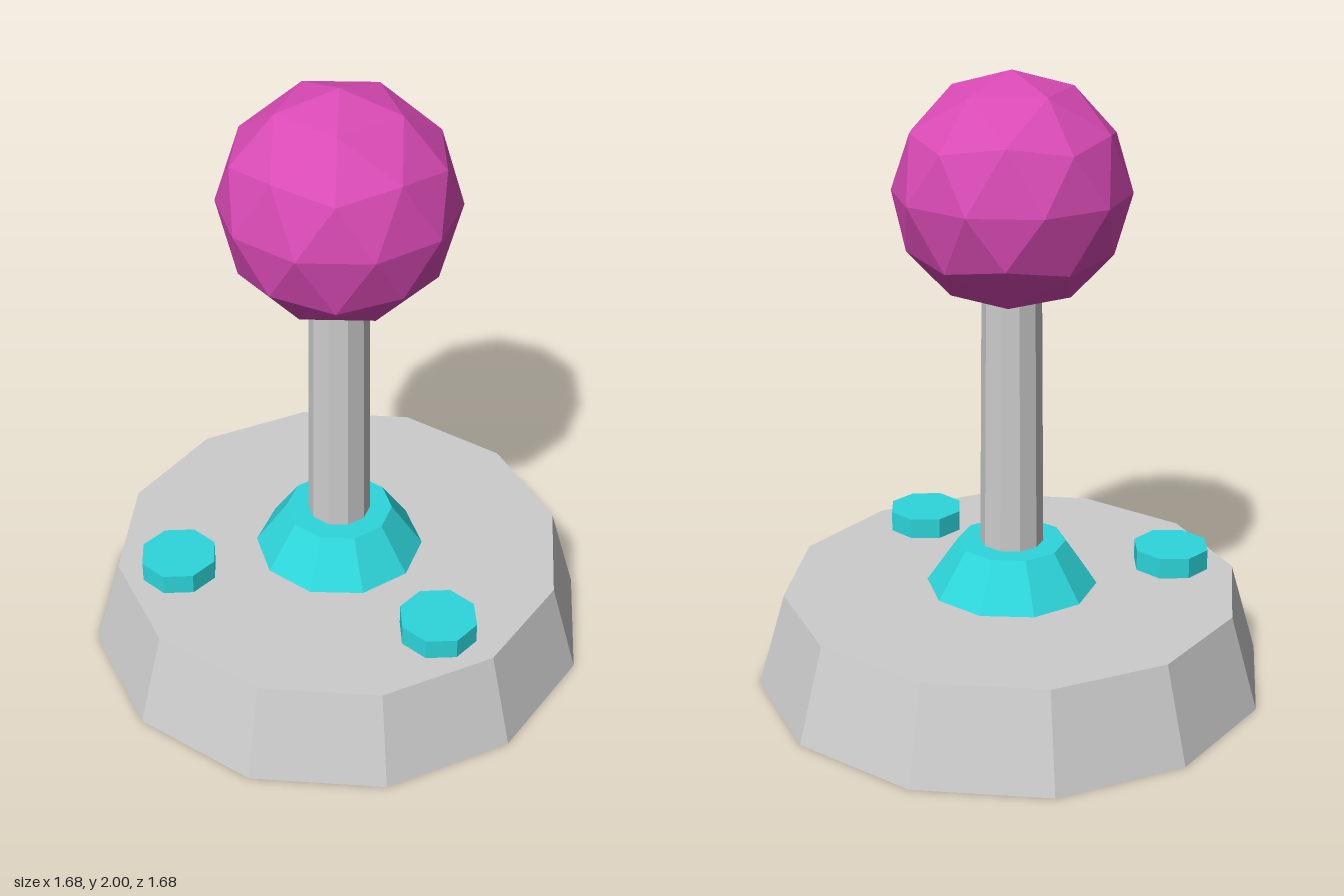
import * as THREE from 'three';

const mat = (name, color) => {
  const m = new THREE.MeshStandardMaterial({ color, flatShading: true });
  m.name = name;
  return m;
};

export function createModel() {
  const grey = mat('light grey', 0xcccccc);
  const cyan = mat('cyan', 0x2dd6db);
  const magenta = mat('magenta', 0xd94ab5);

  const model = new THREE.Group();
  model.name = 'joystick';

  // Upright tapered prism between two heights
  const prism = (name, material, rTop, rBottom, y0, y1, sides, x = 0, z = 0) => {
    const mesh = new THREE.Mesh(new THREE.CylinderGeometry(rTop, rBottom, y1 - y0, sides), material);
    mesh.position.set(x, (y0 + y1) / 2, z);
    mesh.name = name;
    model.add(mesh);
  };

  prism('base', grey, 0.75, 0.84, 0, 0.31, 12);
  prism('collar', cyan, 0.177, 0.28, 0.31, 0.46, 10);
  prism('shaft', grey, 0.095, 0.104, 0.4, 1.32, 10);

  // Two buttons at the front of the base
  for (const [side, name] of [[1, 'leftButton'], [-1, 'rightButton']]) {
    prism(name, cyan, 0.128, 0.128, 0.3, 0.38, 8, side * 0.45, 0.32);
  }

  // Ball grip, turned so that a corner points straight up
  const ballShape = new THREE.IcosahedronGeometry(0.374, 1);
  ballShape.rotateZ(-Math.atan(2 / (1 + Math.sqrt(5))));
  const ball = new THREE.Mesh(ballShape, magenta);
  ball.position.y = 1.626;
  ball.name = 'ballGrip';
  model.add(ball);

  return model;
}
